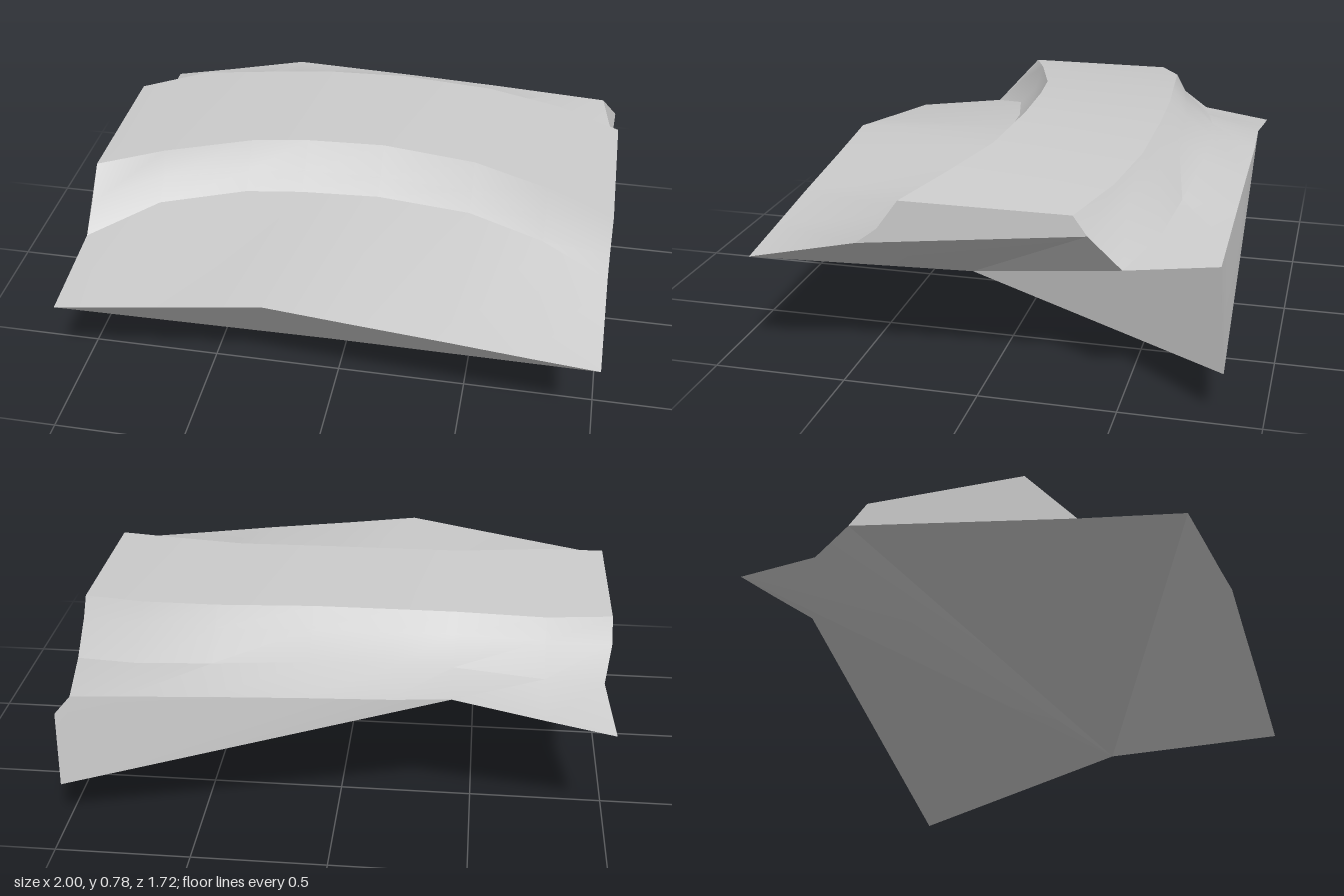
import * as THREE from 'three';
import { toCreasedNormals } from 'three/addons/utils/BufferGeometryUtils.js';

// Stations across the width, and rows from front to back as heights and depths
const X = [-1, -0.75, -0.42, -0.2, 0.1, 0.46, 0.75, 1];
const rimY = [0.71, 0.745, 0.768, 0.778, 0.782, 0.765, 0.74, 0.71];
const rows = {
  front: { y: [0.45, 0.49, 0.544, 0.58, 0.547, 0.51, 0.477, 0.45], z: [0.84, 0.845, 0.85, 0.855, 0.85, 0.845, 0.84, 0.835] },
  foot: { y: [0.5, 0.57, 0.61, 0.62, 0.62, 0.61, 0.58, 0.54], z: [0.46, 0.29, 0.21, 0.19, 0.17, 0.2, 0.29, 0.43] },
  step: { y: [0.59, 0.64, 0.67, 0.68, 0.68, 0.67, 0.64, 0.6], z: [0.37, 0.22, 0.15, 0.13, 0.12, 0.14, 0.23, 0.35] },
  rimFront: { y: rimY, z: [0.27, 0.185, 0.085, 0.06, 0.05, 0.08, 0.17, 0.27] },
  rimBack: { y: rimY, z: [-0.33, -0.43, -0.46, -0.48, -0.49, -0.48, -0.43, -0.34] },
  backStep: { y: [0.63, 0.67, 0.71, 0.72, 0.72, 0.7, 0.67, 0.64], z: [-0.4, -0.47, -0.52, -0.55, -0.56, -0.54, -0.48, -0.39] },
  valley: { y: [0.54, 0.57, 0.63, 0.64, 0.64, 0.6, 0.57, 0.53], z: [-0.54, -0.58, -0.63, -0.66, -0.66, -0.63, -0.6, -0.51] },
  back: { y: [0.49, 0.54, 0.61, 0.6, 0.59, 0.575, 0.56, 0.55], z: [-0.82, -0.822, -0.825, -0.83, -0.83, -0.83, -0.83, -0.83] },
};

export function createModel() {
  const group = new THREE.Group();
  const stone = new THREE.MeshStandardMaterial({ color: 0xcccccc, side: THREE.DoubleSide });
  stone.name = 'pale grey stone';

  const line = {};
  for (const [name, r] of Object.entries(rows)) {
    line[name] = X.map((x, i) => new THREE.Vector3(x, r.y[i], r.z[i]));
  }
  line.valley[0].x = -0.97;
  line.back[7].x = 0.94;
  const end = (i, ...names) => names.map((n) => line[n][i]);

  const add = (name, triangles, crease) => {
    const geometry = new THREE.BufferGeometry().setFromPoints(triangles.flat());
    const mesh = new THREE.Mesh(toCreasedNormals(geometry, crease), stone);
    mesh.name = name;
    group.add(mesh);
  };
  // Triangles from a hub to each pair of neighbours on a path
  const fan = (hub, path) => path.slice(1).map((p, k) => [hub, path[k], p]);

  // Arched top surface: ramp, step, plateau and rear slope
  const grid = Object.values(line);
  const top = [];
  for (let j = 0; j < grid.length - 1; j++) {
    for (let i = 0; i < X.length - 1; i++) {
      const [a, b, c, d] = [grid[j][i], grid[j][i + 1], grid[j + 1][i + 1], grid[j + 1][i]];
      top.push([a, b, c], [a, c, d]);
    }
  }
  add('topSurface', top, 0.62);

  // Flat ends of the raised plateau
  for (const [name, i] of [['rightEnd', 0], ['leftEnd', 7]]) {
    const path = end(i, 'foot', 'step', 'rimFront', 'rimBack', 'backStep');
    if (i) path.reverse();
    add(name, fan(path[0], path.slice(1)), 0.1);
  }

  // Rear wall, tapering from a tall corner
  const tail = new THREE.Vector3(1, 0.19, -0.86);
  const shoulder = new THREE.Vector3(1, 0.48, -0.84);
  add('rearWall', fan(tail, [...line.back.slice(2), shoulder]), 0.3);

  // Underside, drawn from the rim down to one low point
  const apex = new THREE.Vector3(-0.07, 0, 0.33);
  const rim = [
    ...line.front,
    ...end(7, 'foot', 'backStep', 'valley', 'back'),
    tail,
    line.back[2], line.back[1],
    ...end(0, 'back', 'valley', 'backStep', 'foot', 'front'),
  ];
  add('underside', fan(apex, rim.reverse()), 0.4);

  return group;
}
